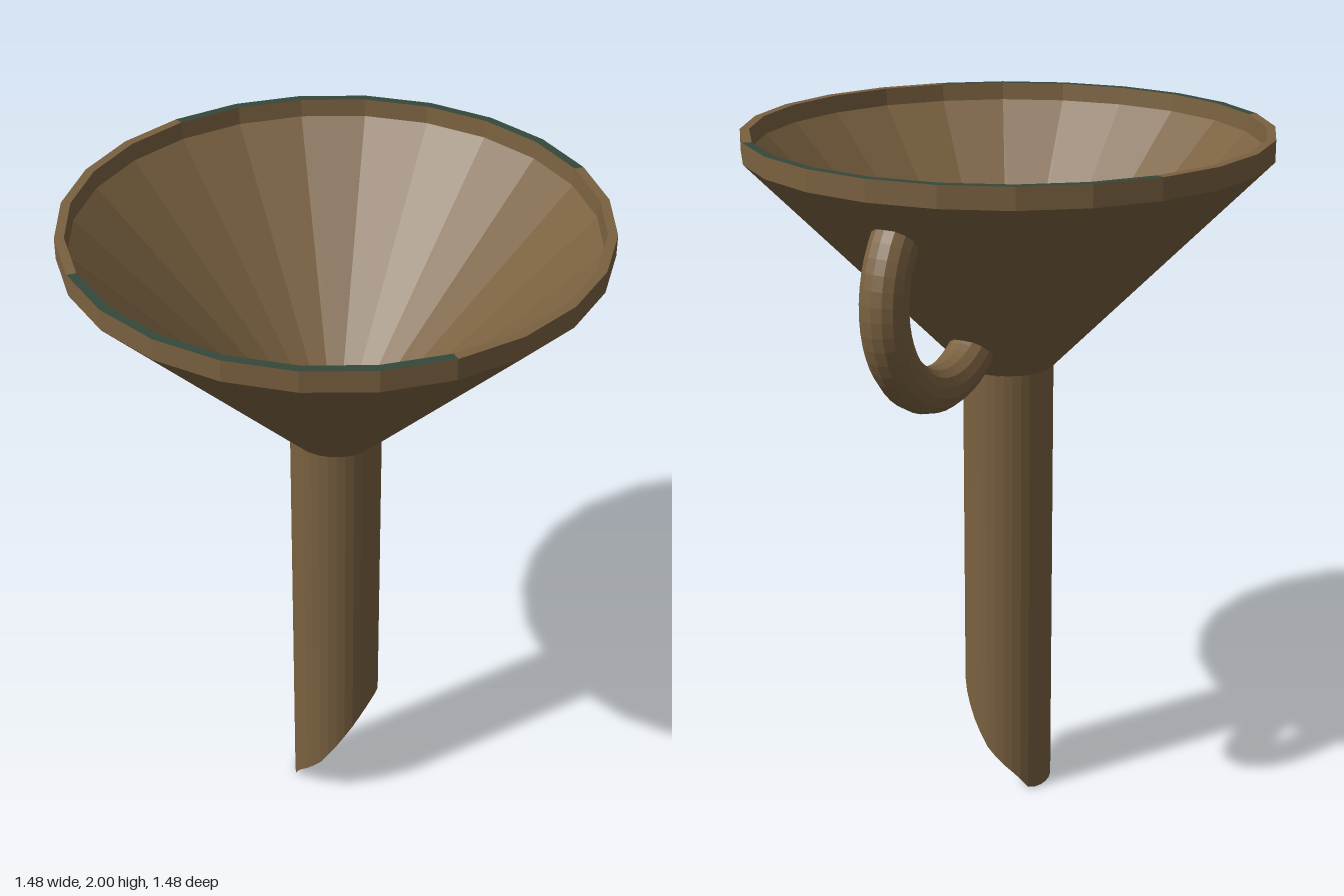
import * as THREE from 'three';

const bronze = new THREE.MeshStandardMaterial({ color: 0x7a6140 });
bronze.name = 'bronze';
const darkGreen = new THREE.MeshStandardMaterial({ color: 0x34483a });
darkGreen.name = 'dark green';

const rad = THREE.MathUtils.degToRad;

// Gives every facet its own flat normal
function faceted(geometry) {
  const flat = geometry.toNonIndexed();
  flat.computeVertexNormals();
  return flat;
}

// Revolves [radius, y] points; angles start at +z and run towards +x
function revolve(points, sides, from = 0, to = 360) {
  const profile = points.map(([r, y]) => new THREE.Vector2(r, y));
  return new THREE.LatheGeometry(profile, sides, rad(from), rad(to - from));
}

function add(group, name, geometry, material) {
  const mesh = new THREE.Mesh(faceted(geometry), material);
  mesh.name = name;
  group.add(mesh);
}

// Height of the slanted spout opening across x
const cut = [[-0.13, 0], [-0.11, 0.005], [-0.085, 0.055], [0, 0.145], [0.055, 0.23], [0.095, 0.3], [0.13, 0.37]];
function cutHeight(x) {
  for (let i = 1; i < cut.length; i++) {
    const [x0, y0] = cut[i - 1], [x1, y1] = cut[i];
    if (x <= x1) return y0 + (y1 - y0) * Math.max(0, (x - x0) / (x1 - x0));
  }
  return cut[cut.length - 1][1];
}

export function createModel() {
  const group = new THREE.Group();
  group.name = 'funnel';

  // Bowl: outer cone and band, then the inner band and cone
  add(group, 'bowlOutside', revolve([[0.128, 1.32], [0.738, 1.94], [0.738, 2]], 24), bronze);
  add(group, 'bowlInside', revolve([[0.712, 2], [0.708, 1.95], [0.105, 1.335]], 24), bronze);

  // Top of the rim, split into coloured arcs
  const arcs = [[-45, 45, darkGreen], [45, 135, bronze], [135, 240, darkGreen], [240, 315, bronze]];
  for (const [from, to, material] of arcs) {
    add(group, 'rimArc', revolve([[0.738, 2], [0.712, 2]], (to - from) / 15, from, to), material);
  }

  // Hollow spout with its lower end cut at a slant
  const spout = revolve([[0.105, 0], [0.13, 0], [0.13, 1.325], [0.105, 1.335], [0.105, 0]], 32);
  const p = spout.attributes.position;
  for (let i = 0; i < p.count; i++) {
    if (p.getY(i) < 0.01) p.setY(i, cutHeight(p.getX(i)));
  }
  add(group, 'spout', spout, bronze);

  // Half-ring handle on the back, its ends sunk into the cone wall
  const handle = new THREE.TorusGeometry(0.28, 0.065, 14, 24, rad(166));
  handle.rotateZ(rad(-127));
  handle.rotateY(Math.PI / 2);
  handle.translate(0, 1.64, -0.38);
  add(group, 'handle', handle, bronze);

  return group;
}
